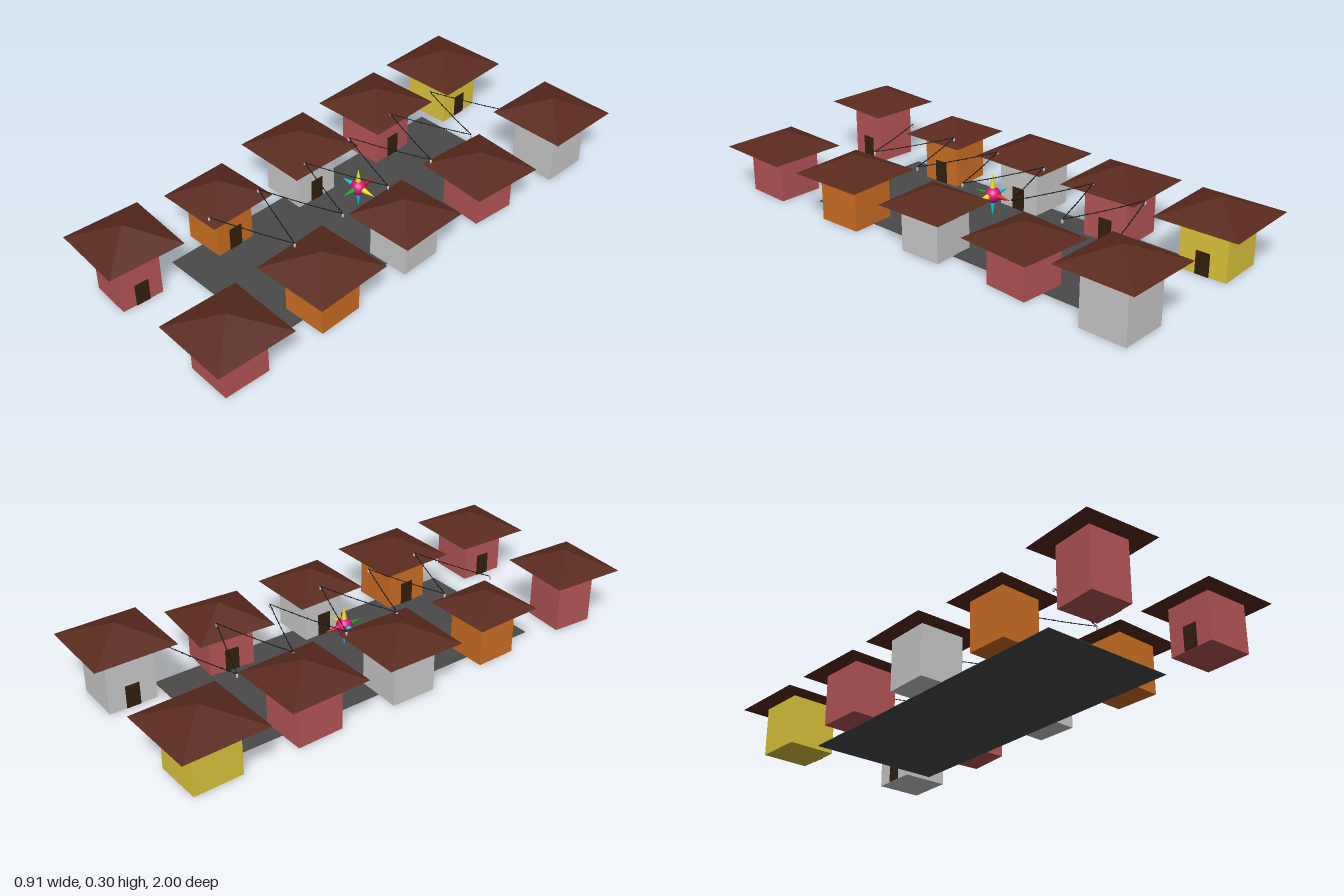
import * as THREE from 'three';

const mat = (color) => new THREE.MeshStandardMaterial({ color });
const flat = (color) => new THREE.MeshStandardMaterial({ color, flatShading: true });

const PINK = flat(0xb85658), ORANGE = flat(0xd07024), GREY = flat(0xcccccc), YELLOW = flat(0xe0c83c);
const ROOF = flat(0x5a2a1e), DOOR = flat(0x33200f), STREET = flat(0x4a4a4a);
const WIRE = mat(0x111111), BULB = mat(0xcccccc);

const ROOF_RISE = 0.068;

function add(parent, name, geometry, material, x = 0, y = 0, z = 0) {
  const mesh = new THREE.Mesh(geometry, material);
  mesh.name = name;
  mesh.position.set(x, y, z);
  parent.add(mesh);
  return mesh;
}

// House: box walls, overhanging pyramid roof, door on the street side
function house(h) {
  const g = new THREE.Group();
  g.name = 'house';
  add(g, 'walls', new THREE.BoxGeometry(h.wall, h.eave - 0.001, h.wall), h.material, 0, (h.eave + 0.001) / 2);
  const roof = new THREE.ConeGeometry(h.roof / Math.SQRT2, ROOF_RISE, 4).rotateY(Math.PI / 4);
  add(g, 'roof', roof, ROOF, 0, h.eave + ROOF_RISE / 2);
  const side = -Math.sign(h.x);
  add(g, 'door', new THREE.BoxGeometry(0.008, 0.09, 0.055), DOOR, side * h.wall / 2, 0.047, 0);
  g.position.set(h.x, 0, h.z);
  g.rotation.y = THREE.MathUtils.degToRad(h.turn);
  return g;
}

// Zigzag string of lights between the two rows
function lightString() {
  const g = new THREE.Group();
  g.name = 'lightString';
  const ends = [];
  for (let i = 0; i < 12; i++) {
    const right = i % 2 === 0;
    ends.push(new THREE.Vector3(right ? 0.166 : -0.156, right ? 0.234 : 0.229, -0.72 + 0.115 * i));
  }
  const bead = new THREE.SphereGeometry(0.0032, 6, 4);
  const bulb = new THREE.CapsuleGeometry(0.004, 0.008, 3, 8);
  ends.forEach((a, i) => {
    add(g, 'bulb', bulb, BULB, a.x, a.y - 0.009, a.z);
    if (i === ends.length - 1) return;
    const b = ends[i + 1];
    const mid = a.clone().lerp(b, 0.5);
    mid.y -= 0.008;
    const curve = new THREE.QuadraticBezierCurve3(a, mid, b);
    add(g, 'wire', new THREE.TubeGeometry(curve, 8, 0.0016, 5), WIRE);
    for (let k = 1; k < 10; k++) {
      const p = curve.getPoint(k / 10);
      add(g, 'bead', bead, WIRE, p.x, p.y, p.z);
    }
  });
  return g;
}

// Hanging star: ball with six coloured spikes
function star() {
  const g = new THREE.Group();
  g.name = 'star';
  add(g, 'ball', new THREE.SphereGeometry(0.031, 24, 16), mat(0xd8107e));
  const yellow = mat(0xe8e010), cyan = mat(0x10d0e0);
  const spikes = [
    [0, 1, 0, yellow], [0, -1, 0, cyan], [1, 0, 0, yellow],
    [-1, 0, 0, cyan], [0, 0, 1, mat(0x1f9a1f)], [0, 0, -1, mat(0xd02020)],
  ];
  const up = new THREE.Vector3(0, 1, 0);
  for (const [x, y, z, material] of spikes) {
    const dir = new THREE.Vector3(x, y, z);
    const spike = add(g, 'spike', new THREE.ConeGeometry(0.011, 0.058, 16), material);
    spike.position.copy(dir).multiplyScalar(0.0565);
    spike.quaternion.setFromUnitVectors(up, dir);
  }
  g.position.set(0.008, 0.138, -0.035);
  return g;
}

export function createModel() {
  const model = new THREE.Group();
  model.name = 'village';

  add(model, 'street', new THREE.BoxGeometry(0.555, 0.002, 1.34), STREET, 0.002, 0.001, -0.03);

  // x, z, roof size, wall size, eave height, turn in degrees, wall colour
  const rows = [
    [-0.285, -0.83, 0.338, 0.193, 0.201, 1.6, YELLOW],
    [-0.275, -0.415, 0.322, 0.187, 0.207, 1.8, PINK],
    [-0.275, 0, 0.319, 0.182, 0.205, -0.6, GREY],
    [-0.265, 0.415, 0.28, 0.164, 0.194, 1.5, ORANGE],
    [-0.262, 0.835, 0.3, 0.164, 0.23, -4, PINK],
    [0.287, -0.83, 0.322, 0.19, 0.232, -0.5, GREY],
    [0.275, -0.415, 0.305, 0.18, 0.177, -4.4, PINK],
    [0.278, 0, 0.288, 0.172, 0.184, 1.6, GREY],
    [0.285, 0.415, 0.314, 0.18, 0.193, 1.6, ORANGE],
    [0.284, 0.833, 0.313, 0.181, 0.186, -2, PINK],
  ];
  for (const [x, z, roof, wall, eave, turn, material] of rows) {
    model.add(house({ x, z, roof, wall, eave, turn, material }));
  }

  model.add(lightString(), star());
  return model;
}
